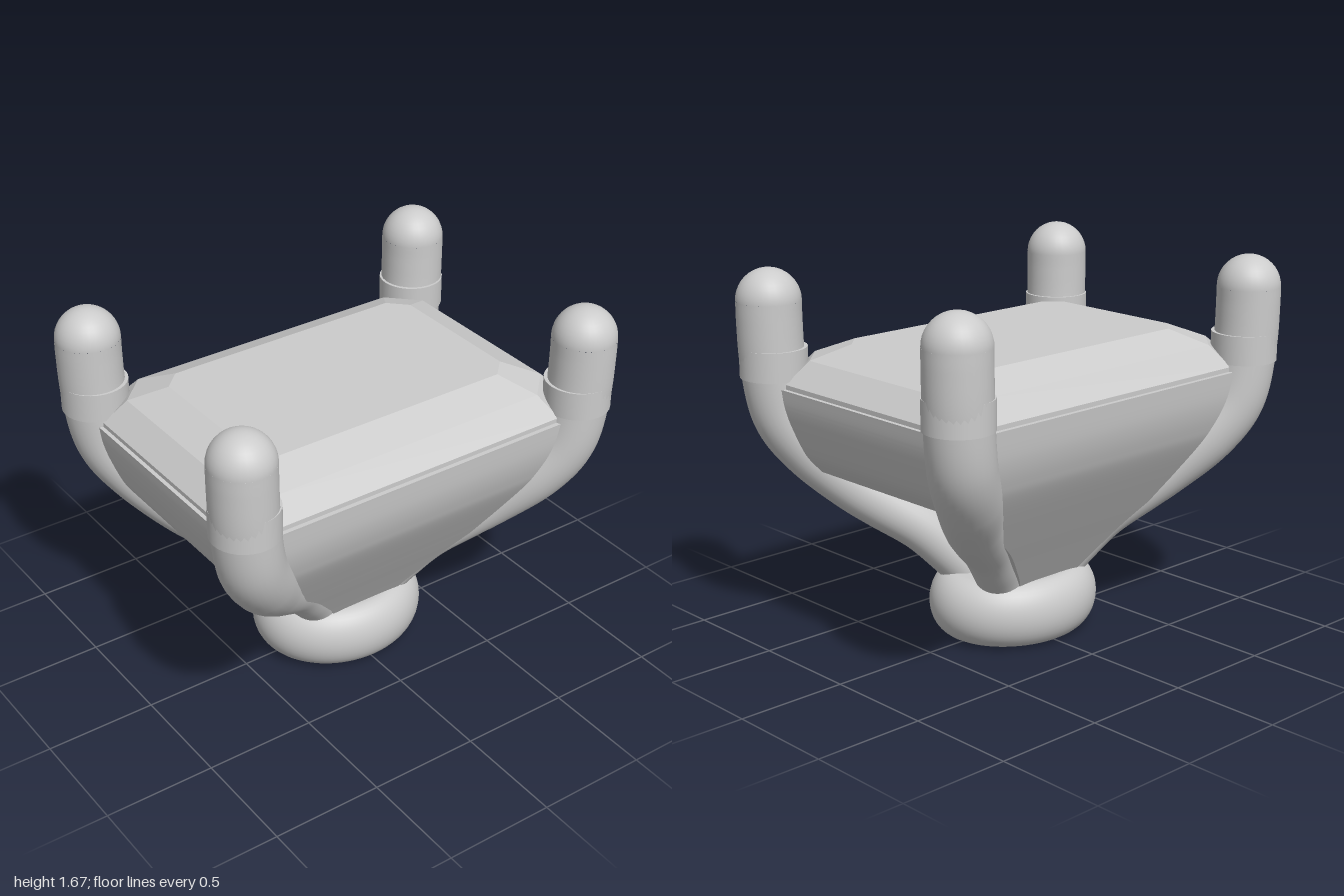
import * as THREE from 'three';
import { toCreasedNormals } from 'three/addons/utils/BufferGeometryUtils.js';
import { ConvexGeometry } from 'three/addons/geometries/ConvexGeometry.js';

const mat = new THREE.MeshStandardMaterial({ color: 0xcccccc });

// Centre line of one prong, from the base up to the tip
const PATH = [
  [0.10, 0.2, 0.14], [0.12, 0.3, 0.19], [0.165, 0.4, 0.27], [0.22, 0.5, 0.36],
  [0.315, 0.62, 0.5], [0.38, 0.7, 0.585], [0.505, 0.87, 0.725], [0.572, 1.03, 0.815],
  [0.595, 1.25, 0.852], [0.6, 1.45, 0.86], [0.6, 1.53, 0.86],
];
const prongCurve = (sx, sz) =>
  new THREE.CatmullRomCurve3(PATH.map(([x, y, z]) => new THREE.Vector3(x * sx, y, z * sz)));
const guide = prongCurve(1, 1);

// Outer faces of the walls as (distance from centre, height)
const SIDE_PROFILE = [[0.21, 0.25], [0.325, 0.44], [0.423, 0.6], [0.56, 0.83], [0.605, 0.93], [0.635, 1.04], [0.65, 1.17]];
const END_PROFILE = [[0.775, 0.8], [0.83, 0.88], [0.875, 1.0], [0.898, 1.09], [0.908, 1.17]];

// Point of the prong centre line at a given height
function guideAt(y) {
  let lo = 0, hi = 1;
  for (let i = 0; i < 30; i++) {
    const m = (lo + hi) / 2;
    if (guide.getPoint(m).y < y) lo = m; else hi = m;
  }
  return guide.getPoint(lo);
}

function add(parent, name, geometry) {
  const mesh = new THREE.Mesh(geometry, mat);
  mesh.name = name;
  parent.add(mesh);
  return mesh;
}

// Round prong, slimmer towards the base, with a domed tip
function makeProng(sx, sz) {
  const prong = new THREE.Group();
  prong.name = 'prong';
  const curve = prongCurve(sx, sz), segs = 72, sides = 32, r = 0.141;
  const geo = new THREE.TubeGeometry(curve, segs, r, sides, false);
  const pos = geo.attributes.position, v = new THREE.Vector3();
  for (let i = 0; i <= segs; i++) {
    const c = curve.getPointAt(i / segs);
    const k = (0.108 + 0.033 * THREE.MathUtils.smoothstep(c.y, 0.4, 1.0)) / r;
    for (let j = 0; j <= sides; j++) {
      const n = i * (sides + 1) + j;
      v.fromBufferAttribute(pos, n).sub(c).multiplyScalar(k).add(c);
      pos.setXYZ(n, v.x, v.y, v.z);
    }
  }
  add(prong, 'prongStem', geo);
  add(prong, 'prongTip', new THREE.SphereGeometry(r, 32, 10, 0, Math.PI * 2, 0, Math.PI / 2))
    .position.set(0.6 * sx, 1.53, 0.86 * sz);
  // Sleeve on the inner side, gripping the stone's corner
  add(prong, 'cornerSeat', new THREE.CylinderGeometry(0.147, 0.147, 0.13, 32))
    .position.set(0.592 * sx, 1.265, 0.85 * sz);
  return prong;
}

// Curved wall spanning two prongs: a box whose rows follow a profile outwards
// and the prong centre lines sideways
function wallGeometry(profile, alongZ) {
  const geo = new THREE.BoxGeometry(1, 1, 1, 1, 40, 1);
  const pos = geo.attributes.position;
  const curve = new THREE.SplineCurve(profile.map(([d, y]) => new THREE.Vector2(d, y)));
  for (let i = 0; i < pos.count; i++) {
    const { x: out, y } = curve.getPoint(pos.getY(i) + 0.5);
    const g = guideAt(y);
    if (alongZ) pos.setXYZ(i, out + (pos.getX(i) - 0.5) * 0.06, y, g.z * 1.96 * pos.getZ(i));
    else pos.setXYZ(i, g.x * 1.96 * pos.getX(i), y, out + (pos.getZ(i) - 0.5) * 0.06);
  }
  return toCreasedNormals(geo, 0.6);
}

// Step-cut stone: stacked cut-corner rectangles closing on a keel
function stoneGeometry() {
  const rings = [ // half width, half length, height, corner cut
    [0.40, 0.64, 1.35, 0.08], [0.465, 0.70, 1.322, 0.10], [0.55, 0.79, 1.285, 0.13],
    [0.63, 0.89, 1.19, 0.17], [0.63, 0.89, 1.165, 0.17],
    [0.55, 0.77, 0.95, 0.13], [0.44, 0.60, 0.79, 0.08],
  ];
  const pts = [new THREE.Vector3(0, 0.54, 0.3), new THREE.Vector3(0, 0.54, -0.3)];
  for (const [w, l, y, c] of rings)
    for (const sx of [1, -1])
      for (const sz of [1, -1])
        pts.push(new THREE.Vector3(sx * w, y, sz * (l - c)), new THREE.Vector3(sx * (w - c), y, sz * l));
  return new ConvexGeometry(pts);
}

// Rounded oval foot with two square sockets underneath
function makeBase() {
  const base = new THREE.Group();
  base.name = 'base';
  const profile = [];
  for (let i = 0; i <= 20; i++) {
    const a = -Math.PI / 2 + Math.PI * i / 20;
    profile.push(new THREE.Vector2(0.285 + 0.118 * Math.cos(a), 0.148 + 0.148 * Math.sin(a)));
  }
  profile.push(new THREE.Vector2(0, 0.296));
  const rim = new THREE.LatheGeometry(profile, 64);
  rim.scale(0.8575, 1, 1);
  add(base, 'baseRim', rim);

  const sole = new THREE.Shape().absellipse(0, 0, 0.247, 0.288, 0, Math.PI * 2);
  const s = 0.06;
  for (const c of [0.15, -0.15]) {
    sole.holes.push(new THREE.Path([[-s, -s], [-s, s], [s, s], [s, -s]]
      .map(([x, z]) => new THREE.Vector2(c + x, z))));
  }
  const soleGeo = new THREE.ExtrudeGeometry(sole, { depth: 0.16, bevelEnabled: false, curveSegments: 32 });
  soleGeo.rotateX(-Math.PI / 2);
  add(base, 'baseSole', soleGeo);
  add(base, 'socketCeiling', new THREE.BoxGeometry(0.44, 0.04, 0.16)).position.y = 0.18;
  return base;
}

export function createModel() {
  const model = new THREE.Group();
  model.name = 'stoneSetting';
  model.add(makeBase());
  for (const sx of [1, -1]) for (const sz of [1, -1]) model.add(makeProng(sx, sz));

  // Long side walls reach the base, end walls stop halfway
  const side = wallGeometry(SIDE_PROFILE, true), end = wallGeometry(END_PROFILE, false);
  for (const turn of [0, Math.PI]) {
    add(model, 'sideWall', side).rotation.y = turn;
    add(model, 'endWall', end).rotation.y = turn;
  }
  add(model, 'stone', stoneGeometry());
  return model;
}
